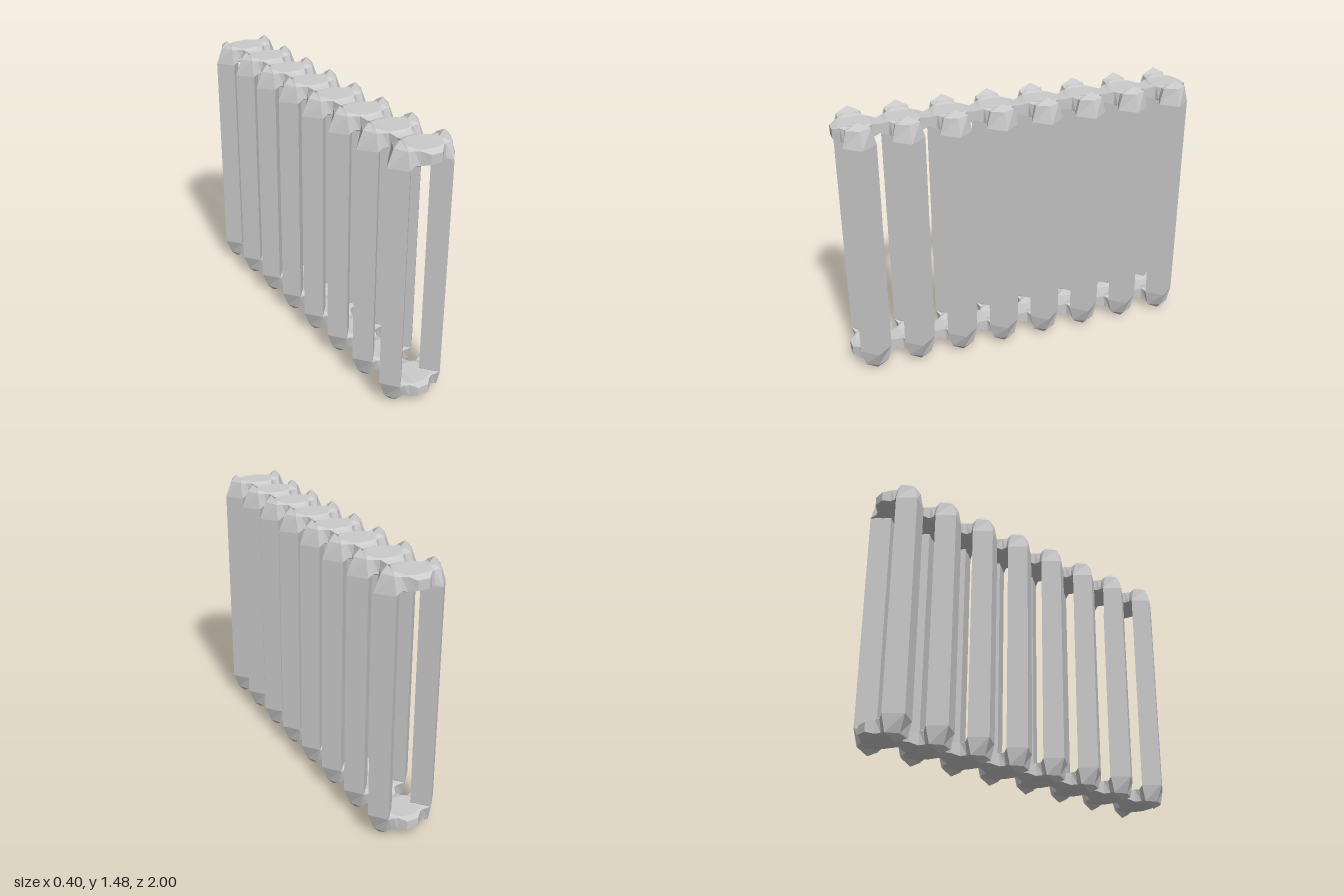
import * as THREE from 'three';

const HEIGHT = 1.475, SECTIONS = 8, SPACING = 0.2525, COLUMN_X = 0.128;
const material = new THREE.MeshStandardMaterial({ color: 0xcccccc, flatShading: true });

// Joins closed rings of points (counter-clockwise seen from the last ring) into a skin.
function loft(rings) {
  const n = rings[0].length, index = [];
  for (let i = 0; i < rings.length - 1; i++) {
    for (let j = 0; j < n; j++) {
      const k = (j + 1) % n;
      const a = i * n + j, b = i * n + k, c = b + n, d = a + n;
      index.push(a, b, c, a, c, d);
    }
  }
  const geometry = new THREE.BufferGeometry();
  geometry.setAttribute('position', new THREE.Float32BufferAttribute(rings.flat(2), 3));
  geometry.setIndex(index);
  geometry.computeVertexNormals();
  return geometry;
}

// Diamond column with a faceted, pointed cap at both ends: y, half x, half z
function columnGeometry() {
  const profile = [
    [0, 0, 0], [0.036, 0.035, 0.064], [0.127, 0.071, 0.087],
    [HEIGHT - 0.127, 0.071, 0.087], [HEIGHT - 0.036, 0.035, 0.064], [HEIGHT, 0, 0],
  ];
  return loft(profile.map(([y, x, z]) => [[0, y, z], [x, y, 0], [0, y, -z], [-x, y, 0]]));
}

// Bridge between the two columns, flaring into a hub in the middle.
// Each station: x, then (z, y) points from the top to the bottom of one side.
function bridgeGeometry(atBottom) {
  const half = [
    [0.128, [[0.03, 1.445], [0.063, 1.435], [0.087, 1.35], [0.04, 1.35]]],
    [0.09, [[0.03, 1.443], [0.06, 1.43], [0.072, 1.362], [0.03, 1.35]]],
    [0.065, [[0.07, 1.437], [0.08, 1.432], [0.083, 1.36], [0.07, 1.353]]],
    [0.032, [[0.083, 1.437], [0.116, 1.42], [0.116, 1.37], [0.083, 1.36]]],
  ];
  const stations = [
    ...half.map(([x, side]) => [-x, side]),
    ...half.slice().reverse(),
  ];
  return loft(stations.map(([x, side]) => {
    const ring = [
      ...side.map(([z, y]) => [x, y, z]),
      ...side.slice().reverse().map(([z, y]) => [x, y, -z]),
    ];
    return atBottom ? ring.map(([px, y, z]) => [px, HEIGHT - y, z]).reverse() : ring;
  }));
}

// Waisted joint linking neighbouring hubs: z, half x, half y
function jointGeometry() {
  const profile = [[-0.045, 0.064, 0.037], [0, 0.047, 0.025], [0.045, 0.064, 0.037]];
  return loft(profile.map(([z, x, y]) => [[x, -y, z], [x, y, z], [-x, y, z], [-x, -y, z]]));
}

export function createModel() {
  const model = new THREE.Group();
  model.name = 'radiator';
  const column = columnGeometry(), joint = jointGeometry();
  const topBridge = bridgeGeometry(false), bottomBridge = bridgeGeometry(true);

  const add = (parent, name, geometry, x = 0, y = 0, z = 0) => {
    const mesh = new THREE.Mesh(geometry, material);
    mesh.name = name;
    mesh.position.set(x, y, z);
    parent.add(mesh);
  };

  for (let i = 0; i < SECTIONS; i++) {
    const section = new THREE.Group();
    section.name = 'section' + (i + 1);
    section.position.z = ((SECTIONS - 1) / 2 - i) * SPACING;
    add(section, 'leftColumn', column, COLUMN_X);
    add(section, 'rightColumn', column, -COLUMN_X);
    add(section, 'topBridge', topBridge);
    add(section, 'bottomBridge', bottomBridge);

    // Joints to the next section behind
    if (i < SECTIONS - 1) {
      add(section, 'topJoint', joint, 0, 1.396, -SPACING / 2);
      add(section, 'bottomJoint', joint, 0, HEIGHT - 1.396, -SPACING / 2);
    }
    model.add(section);
  }
  return model;
}
